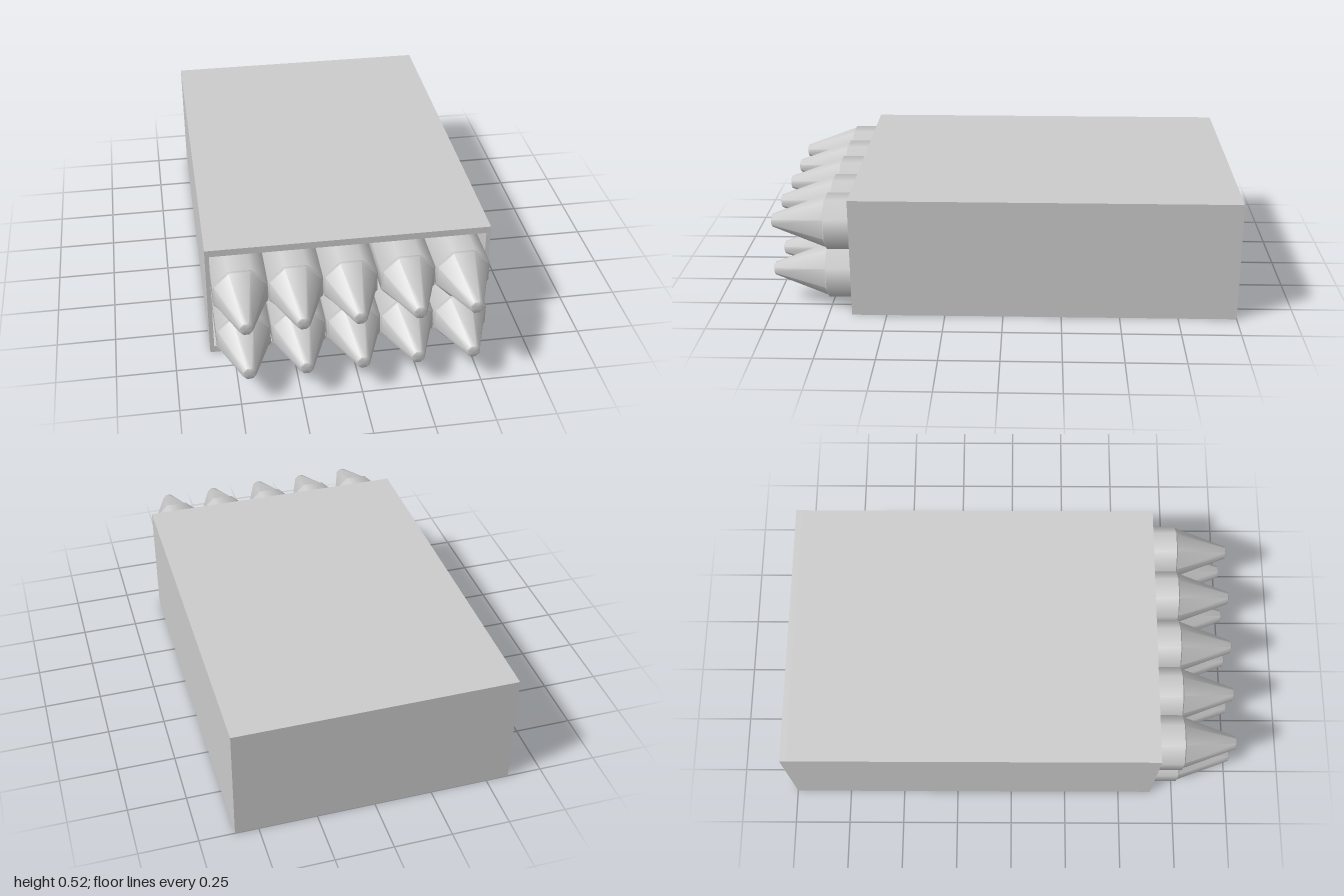
import * as THREE from 'three';
import { toCreasedNormals } from 'three/addons/utils/BufferGeometryUtils.js';

const W = 1.2, H = 0.525, BACK = -1, FRONT = 0.65, WALL = 0.03;

// Rectangle outline, added to a shape or used as a hole
function rectangle(path, x, y0, y1) {
  path.moveTo(-x, y0);
  path.lineTo(x, y0);
  path.lineTo(x, y1);
  path.lineTo(-x, y1);
  path.closePath();
  return path;
}

export function createModel() {
  const model = new THREE.Group();
  model.name = 'rocketPod';
  const material = new THREE.MeshStandardMaterial({ color: 0xcccccc });
  const add = (name, geometry, x, y, z) => {
    const mesh = new THREE.Mesh(geometry, material);
    mesh.name = name;
    mesh.position.set(x, y, z);
    model.add(mesh);
  };

  // Hollow casing, open at the front
  const outline = rectangle(new THREE.Shape(), W / 2, 0, H);
  outline.holes.push(rectangle(new THREE.Path(), W / 2 - 0.018, WALL, H - WALL));
  const casing = new THREE.ExtrudeGeometry(outline, { depth: FRONT - BACK - WALL, bevelEnabled: false });
  add('casing', casing, 0, 0, BACK + WALL);
  add('backPlate', new THREE.BoxGeometry(W, H, WALL), 0, H / 2, BACK + WALL / 2);

  // Eight-sided rocket: straight body, small shoulder, tapered nose with a blunt tip
  const profile = [[0, BACK + WALL], [0.122, BACK + WALL], [0.122, 0.76], [0.114, 0.765], [0.028, 0.997], [0.022, 1], [0, 1]]
    .map(([r, z]) => new THREE.Vector2(r, z));
  const lathe = new THREE.LatheGeometry(profile, 8, Math.PI / 8);
  lathe.rotateX(Math.PI / 2);
  const rocket = toCreasedNormals(lathe, 0.85);

  // Two rows of five, the upper row set slightly unevenly
  const rows = [
    { name: 'lowerRocket', y: 0.153, xs: [-0.462, -0.23, 0.002, 0.228, 0.459] },
    { name: 'upperRocket', y: 0.379, xs: [-0.468, -0.241, -0.013, 0.228, 0.459] },
  ];
  for (const { name, y, xs } of rows) {
    xs.forEach((x, i) => add(name + (i + 1), rocket, x, y, 0));
  }
  return model;
}
